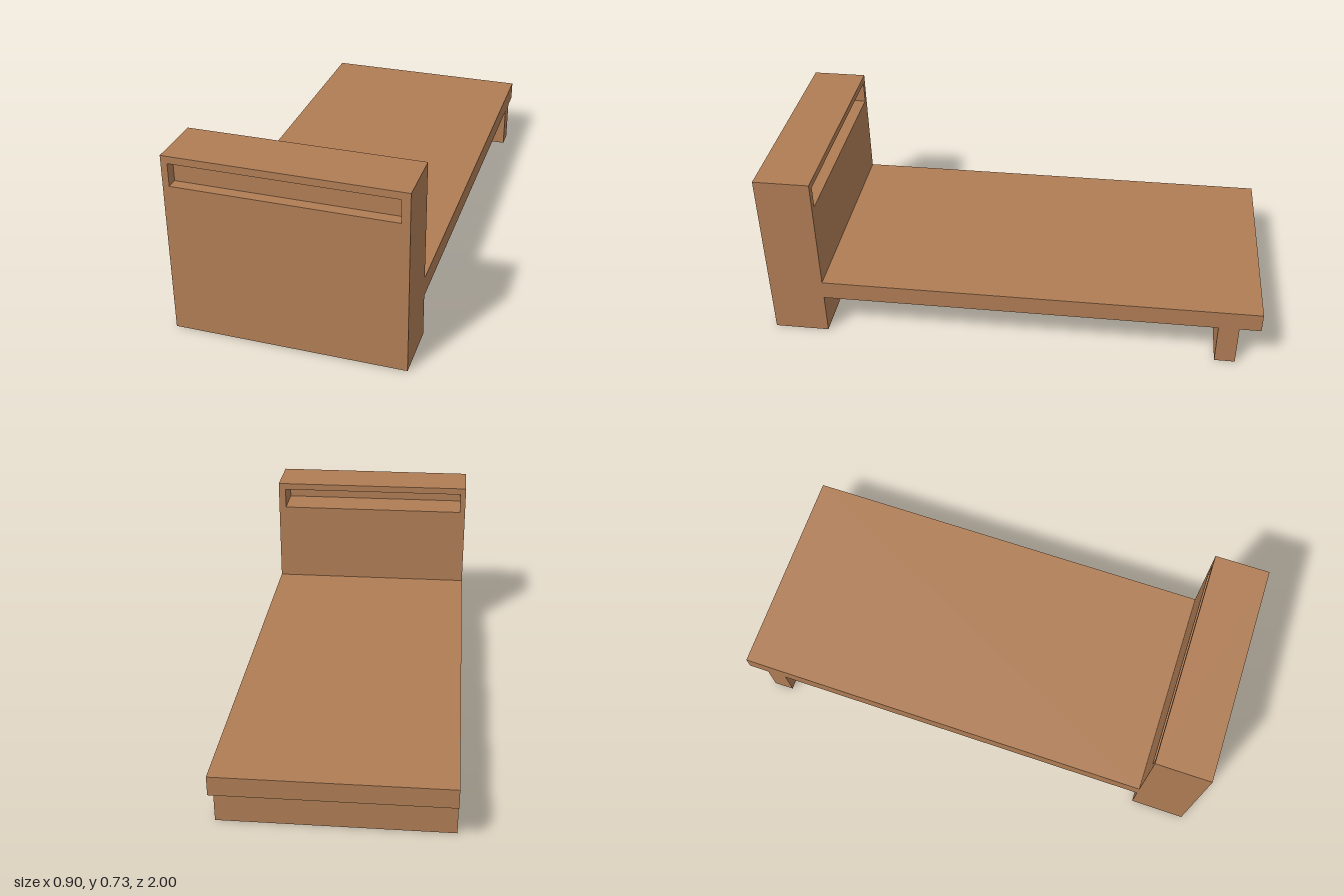
import * as THREE from 'three';

const HALF_WIDTH = 0.449;

export function createModel() {
  const model = new THREE.Group();
  model.name = 'bed';
  const wood = new THREE.MeshStandardMaterial({ color: 0xb07d55 });
  wood.name = 'warm wood';

  const add = (name, geometry) => {
    const mesh = new THREE.Mesh(geometry, wood);
    mesh.name = name;
    model.add(mesh);
  };
  // Box given by its limits on each axis
  const block = (name, [x0, x1], [y0, y1], [z0, z1]) =>
    add(name, new THREE.BoxGeometry(x1 - x0, y1 - y0, z1 - z0)
      .translate((x0 + x1) / 2, (y0 + y1) / 2, (z0 + z1) / 2));
  // Rectangle outline
  const trace = (path, [x0, x1], [y0, y1]) =>
    path.moveTo(x0, y0).lineTo(x1, y0).lineTo(x1, y1).lineTo(x0, y1).closePath();

  const width = [-HALF_WIDTH, HALF_WIDTH];
  const slotX = [-0.424, 0.417];
  const slotY = [0.608, 0.698];
  const headBack = 0.777;

  // Headboard with a long slot cut through it
  const outline = new THREE.Shape();
  trace(outline, width, [0, 0.727]);
  const slot = new THREE.Path();
  trace(slot, slotX, slotY);
  outline.holes.push(slot);
  add('headboard', new THREE.ExtrudeGeometry(outline, { depth: 1 - headBack, bevelEnabled: false })
    .translate(0, 0, headBack));

  // Thin panel splitting the slot into a shallow front recess and a deep shelf
  block('shelfPanel', slotX, slotY, [0.937, 0.957]);

  // Sleeping platform and the full-width support under its foot end
  block('platform', width, [0.173, 0.251], [-1, headBack]);
  block('footSupport', width, [0, 0.173], [-0.914, -0.831]);

  return model;
}
